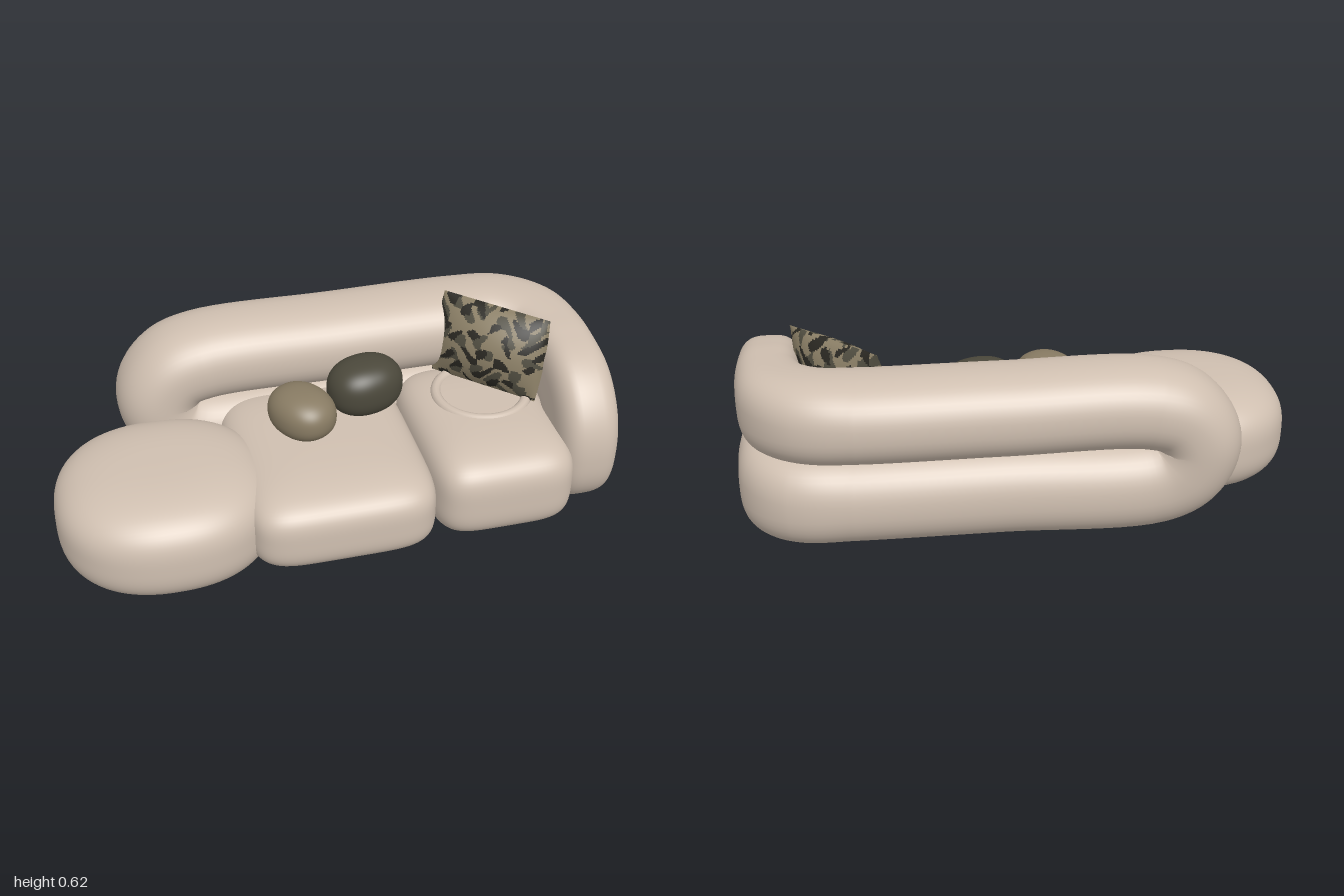
import * as THREE from 'three';
import { mergeVertices } from 'three/addons/utils/BufferGeometryUtils.js';

const mat = (name, color, side = THREE.FrontSide) => {
  const m = new THREE.MeshStandardMaterial({ color, side });
  m.name = name;
  return m;
};
const spow = (v, p) => Math.sign(v) * Math.pow(Math.abs(v), p);

// Soft puffed block: plan roundness n, vertical roundness m, flattened at y = floor
function puff([rx, ry, rz], n, m, floor = -Infinity) {
  const box = new THREE.BoxGeometry(2, 2, 2, 30, 24, 30);
  box.deleteAttribute('uv');
  box.deleteAttribute('normal');
  const g = mergeVertices(box, 1e-4);
  const p = g.attributes.position;
  for (let i = 0; i < p.count; i++) {
    const [x, y, z] = [p.getX(i), p.getY(i), p.getZ(i)];
    const plan = Math.pow(Math.abs(x) ** n + Math.abs(z) ** n, m / n);
    const k = Math.pow(plan + Math.abs(y) ** m, -1 / m);
    p.setXYZ(i, x * k * rx, Math.max(y * k * ry, floor), z * k * rz);
  }
  g.computeVertexNormals();
  return g;
}

// Closed bolster loop: runs low along the back, round the corner, up the arm front and back on top
function bolsterGeometry() {
  const Q = Math.PI / 2;
  // x, y, z, wall angle, half thickness, half height
  const stations = [
    [-0.43, 0.155, -0.305, 0, 0.17, 0.165],
    [0.1, 0.155, -0.305, 0, 0.17, 0.165],
    [0.6, 0.155, -0.305, 0, 0.17, 0.165],
    [0.77, 0.155, -0.295, 0.3, 0.16, 0.165],
    [0.845, 0.155, -0.24, 0.8, 0.145, 0.165],
    [0.878, 0.155, -0.14, 1.35, 0.125, 0.165],
    [0.885, 0.155, 0, Q, 0.112, 0.165],
    [0.885, 0.14, 0.13, Q, 0.112, 0.165],
    [0.885, 0.15, 0.2, Q, 0.112, 0.165],
    [0.885, 0.22, 0.22, Q, 0.112, 0.16],
    [0.885, 0.31, 0.205, Q, 0.112, 0.16],
    [0.885, 0.385, 0.14, Q, 0.112, 0.155],
    [0.885, 0.418, 0.02, Q, 0.112, 0.15],
    [0.875, 0.428, -0.1, 1.4, 0.12, 0.15],
    [0.83, 0.437, -0.22, 0.85, 0.145, 0.15],
    [0.73, 0.444, -0.3, 0.3, 0.165, 0.15],
    [0.58, 0.445, -0.32, 0, 0.178, 0.15],
    [0.1, 0.445, -0.32, 0, 0.178, 0.15],
    [-0.4, 0.44, -0.32, 0, 0.178, 0.15],
    [-0.51, 0.4, -0.32, 0, 0.178, 0.15],
    [-0.565, 0.31, -0.318, 0, 0.178, 0.155],
    [-0.53, 0.21, -0.312, 0, 0.174, 0.16],
  ];
  const path = new THREE.CatmullRomCurve3(stations.map(s => new THREE.Vector3(...s.slice(0, 3))), true);
  const size = new THREE.CatmullRomCurve3(stations.map(s => new THREE.Vector3(...s.slice(3))), true, 'catmullrom', 0.5);
  const rings = 220, sides = 48, pos = [], idx = [];
  for (let i = 0; i < rings; i++) {
    const P = path.getPoint(i / rings), T = path.getTangent(i / rings), S = size.getPoint(i / rings);
    const N = new THREE.Vector3(Math.sin(S.x), 0, -Math.cos(S.x));
    N.addScaledVector(T, -N.dot(T)).normalize();
    const B = new THREE.Vector3().crossVectors(T, N);
    const e = 2 / (2.25 + 0.55 * S.x);
    for (let j = 0; j < sides; j++) {
      const a = (j / sides) * Math.PI * 2;
      const v = P.clone()
        .addScaledVector(N, S.y * spow(Math.cos(a), e))
        .addScaledVector(B, S.z * spow(Math.sin(a), e));
      pos.push(v.x, Math.max(v.y, 0), v.z);
      const r0 = i * sides, r1 = ((i + 1) % rings) * sides, k = (j + 1) % sides;
      idx.push(r0 + j, r0 + k, r1 + j, r0 + k, r1 + k, r1 + j);
    }
  }
  const g = new THREE.BufferGeometry();
  g.setAttribute('position', new THREE.Float32BufferAttribute(pos, 3));
  g.setIndex(idx);
  g.computeVertexNormals();
  return g;
}

// Patch index (0 light, 1 mid, 2 dark) of the blotchy fabric
function blotch(x, y, s) {
  const wx = x + 0.018 * Math.sin(y * 47 + s), wy = y + 0.018 * Math.sin(x * 41 + 2 * s);
  const f = Math.sin(wx * 58 + s) * Math.sin(wy * 66 + 1.3 * s) + 0.5 * Math.sin(wx * 31 - wy * 83 + s);
  const h = Math.sin(wx * 49 - 1.7 + s) * Math.sin(wy * 60 + 2.1) + 0.5 * Math.sin(wx * 77 + wy * 37);
  return f > 0.42 ? 2 : h > 0.28 ? 1 : 0;
}

// Square scatter cushion pinched at its edges, patches held as geometry groups
function patchedCushion(hw, hh, ht) {
  const nu = 72, nv = 56, pos = [], lists = [[], [], []];
  for (const side of [1, -1]) {
    const base = pos.length / 3;
    for (let j = 0; j <= nv; j++) for (let i = 0; i <= nu; i++) {
      const u = (i / nu) * 2 - 1, v = (j / nv) * 2 - 1;
      const x = hw * u * (1 - 0.07 * (1 - u * u)) * (1 - 0.04 * v * v), y = hh * v;
      pos.push(x, y, side * ht * Math.pow(1 - u * u, 0.6) * Math.pow(1 - v * v, 0.75));
      if (i === nu || j === nv) continue;
      const a = base + j * (nu + 1) + i, b = a + 1, c = a + nu + 1, d = c + 1;
      const list = lists[blotch(x, y, side)];
      if (side > 0) list.push(a, b, d, a, d, c);
      else list.push(a, d, b, a, c, d);
    }
  }
  const g = new THREE.BufferGeometry();
  g.setAttribute('position', new THREE.Float32BufferAttribute(pos, 3));
  g.setIndex(lists.flat());
  let start = 0;
  lists.forEach((l, k) => { g.addGroup(start, l.length, k); start += l.length; });
  g.computeVertexNormals();
  return g;
}

export function createModel() {
  const group = new THREE.Group();
  group.name = 'sofa';
  const fabric = mat('beige upholstery', 0xcfbfb0);
  const khaki = mat('khaki fabric', 0x887b63);
  const olive = mat('dark olive fabric', 0x4b483b);
  const patches = [
    mat('light patch', 0x8c8067, THREE.DoubleSide),
    mat('mid patch', 0x504d40, THREE.DoubleSide),
    mat('dark patch', 0x2a2822, THREE.DoubleSide),
  ];
  const add = (name, geometry, material, x = 0, y = 0, z = 0) => {
    const m = new THREE.Mesh(geometry, material);
    m.name = name;
    m.position.set(x, y, z);
    group.add(m);
    return m;
  };

  // Back and arm
  add('backAndArmBolster', bolsterGeometry(), fabric);

  // Seat
  add('roundSeat', puff([0.38, 0.195, 0.355], 2.3, 3, -0.14), fabric, -0.62, 0.14, 0.137);
  add('middleSeat', puff([0.34, 0.16, 0.4], 5.5, 3.6, -0.15), fabric, -0.035, 0.15, 0.09);
  add('cornerSeat', puff([0.265, 0.18, 0.36], 5, 3.6, -0.15), fabric, 0.56, 0.15, 0.085);

  // Soft dent rim under the patched cushion
  const rim = add('seatDentRim', new THREE.TorusGeometry(0.165, 0.02, 12, 48), fabric, 0.58, 0.317, 0);
  rim.rotation.x = Math.PI / 2;

  // Scatter cushions
  add('khakiCushion', puff([0.108, 0.088, 0.132], 2.15, 2.3), khaki, -0.103, 0.383, 0.042).rotation.y = 0.5;
  add('oliveCushion', puff([0.142, 0.103, 0.11], 2.2, 2.4), olive, 0.15, 0.397, -0.047).rotation.y = 0.25;
  const cushion = add('patchedCushion', patchedCushion(0.218, 0.156, 0.085), patches, 0.627, 0.473, -0.068);
  cushion.rotation.set(-0.24, -Math.PI / 4, 0, 'YXZ');

  return group;
}
